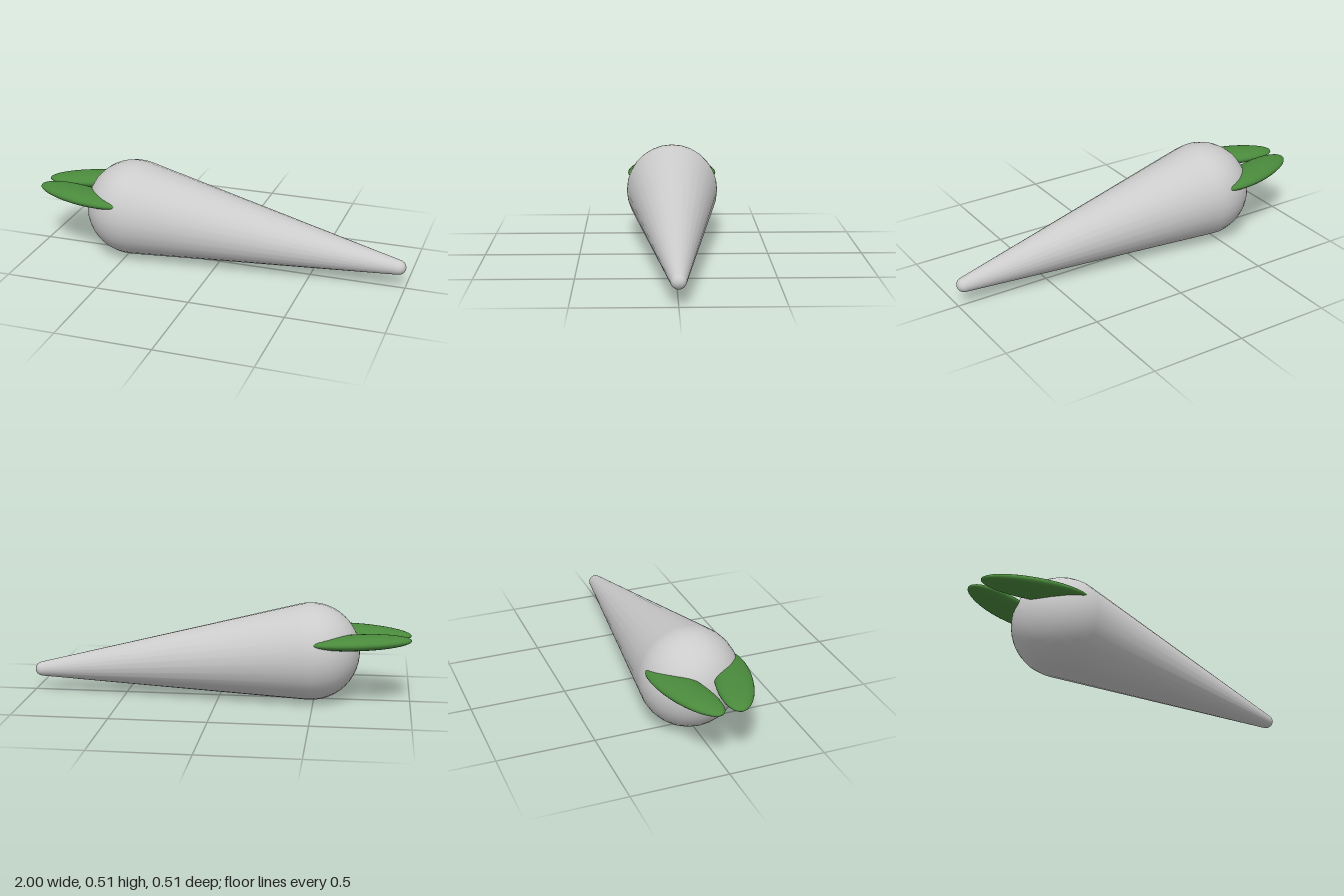
import * as THREE from 'three';

// Profile point on a ball centred at height h on the axis
const onBall = (r, h, angle) => new THREE.Vector2(Math.max(0, r * Math.cos(angle)), h + r * Math.sin(angle));

export function createModel() {
  const group = new THREE.Group();

  // Tapered root: two balls joined by their common tangent cone
  const crown = new THREE.Vector2(-0.48, 0.257), tip = new THREE.Vector2(0.962, 0.115);
  const crownR = 0.255, tipR = 0.038;
  const length = crown.distanceTo(tip);
  const slope = Math.asin((crownR - tipR) / length);
  const profile = [];
  for (let i = 0; i <= 12; i++) {
    profile.push(onBall(crownR, 0, THREE.MathUtils.lerp(-Math.PI / 2, slope, i / 12)));
  }
  for (let i = 0; i <= 6; i++) {
    profile.push(onBall(tipR, length, THREE.MathUtils.lerp(slope, Math.PI / 2, i / 6)));
  }
  const root = new THREE.Mesh(
    new THREE.LatheGeometry(profile, 28),
    new THREE.MeshStandardMaterial({ color: 0xcccccc })
  );
  root.name = 'root';
  root.position.set(crown.x, crown.y, 0);
  root.rotation.z = Math.atan2(tip.y - crown.y, tip.x - crown.x) - Math.PI / 2;
  group.add(root);

  // Pair of flat leaves, mirrored front to back and set into the crown
  const green = new THREE.MeshStandardMaterial({ color: 0x4a8a3c });
  const leafShape = new THREE.SphereGeometry(1, 28, 16).rotateZ(Math.PI / 2).scale(0.276, 0.038, 0.094);
  for (const side of [-1, 1]) {
    const leaf = new THREE.Mesh(leafShape, green);
    leaf.name = side < 0 ? 'backLeaf' : 'frontLeaf';
    leaf.position.set(-0.735, 0.34, side * 0.128);
    leaf.rotation.y = -side * 0.3;
    group.add(leaf);
  }

  return group;
}
